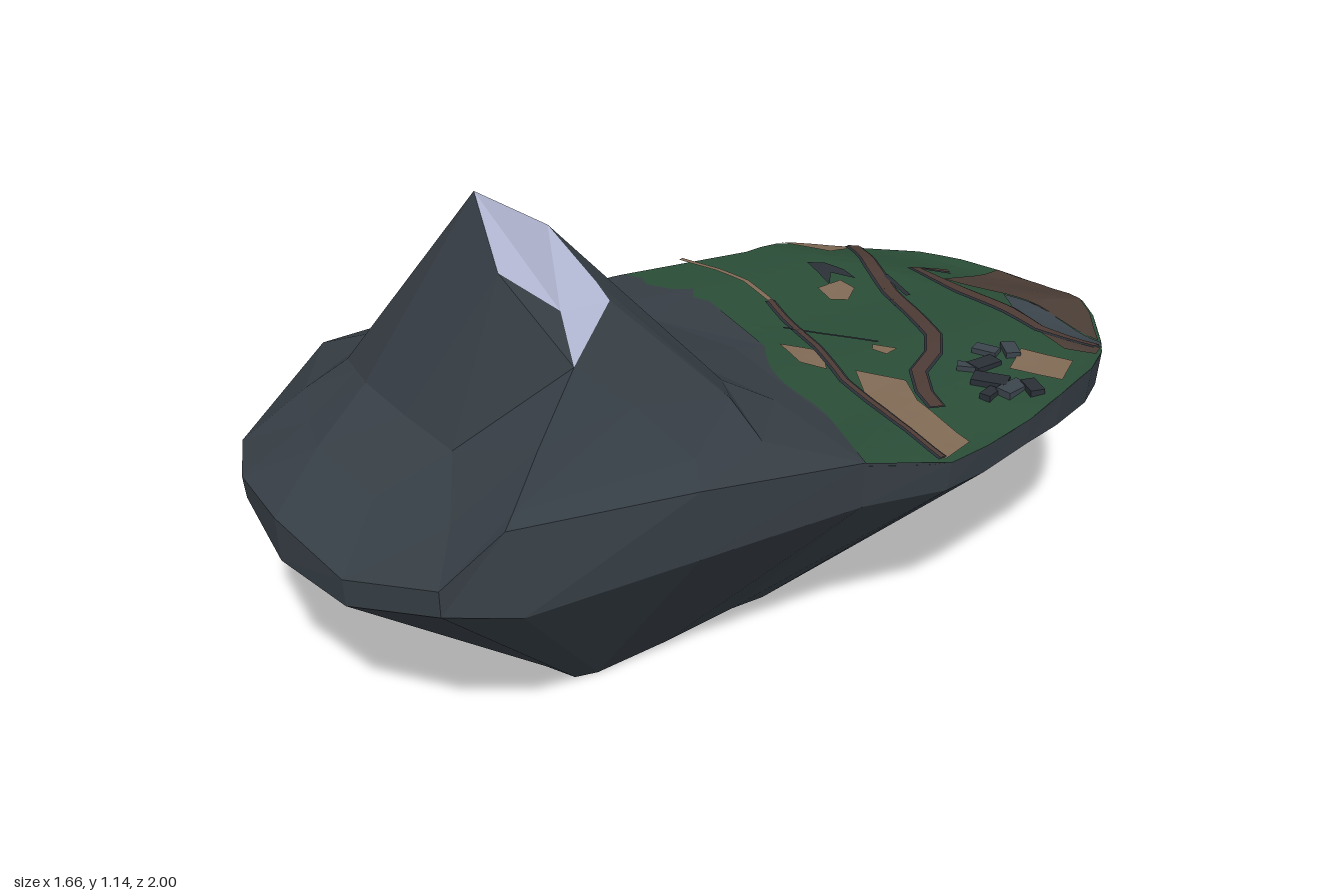
import * as THREE from 'three';

const material = (name, color) => new THREE.MeshStandardMaterial({ name, color });
const step = THREE.MathUtils.smoothstep;

// Height of the rolling plateau, dipping at its back, its beach and its back corner
const ground = (x, z) => 0.555 + 0.004 * Math.sin(11 * x + 7 * z)
  + 0.01 * step(x, 0.3, 0.7) * step(-z, 0.25, 0.5)
  - Math.max(0.05 * step(-z, 0.72, 0.98), 0.04 * step(x, 0.5, 0.7) * step(z, -0.35, -0.05),
    0.04 * step(x, 0.55, 0.78) * step(-z, 0.54, 0.7));

// Flat-shaded mesh from triangles of [x, y, z] corners
function facets(name, tris, mat) {
  const g = new THREE.BufferGeometry();
  g.setAttribute('position', new THREE.Float32BufferAttribute(tris.flat(2), 3));
  g.computeVertexNormals();
  const m = new THREE.Mesh(g, mat);
  m.name = name;
  return m;
}

// Triangles between two loops of equal length, a inside or above b
function loft(a, b) {
  const out = [];
  a.forEach((p, i) => {
    const j = (i + 1) % a.length;
    out.push([p, b[j], b[i]], [p, a[j], b[j]]);
  });
  return out;
}

// Split an [x, z] polygon into triangles, all facing up
function polygon(points) {
  const v = points.map(p => new THREE.Vector2(p[0], p[1]));
  return THREE.ShapeUtils.triangulateShape(v, []).map(f => {
    const [a, b, c] = f.map(i => points[i]);
    const up = (b[1] - a[1]) * (c[0] - a[0]) - (b[0] - a[0]) * (c[1] - a[1]) > 0;
    return up ? [a, b, c] : [a, c, b];
  });
}

// Cut triangles until small, so that they can follow the ground
function refine(t, out) {
  const len = i => Math.hypot(t[i][0] - t[(i + 1) % 3][0], t[i][1] - t[(i + 1) % 3][1]);
  let k = 0;
  for (const i of [1, 2]) if (len(i) > len(k)) k = i;
  if (len(k) < 0.07) return out.push(t);
  const a = t[k], b = t[(k + 1) % 3], c = t[(k + 2) % 3];
  const m = [(a[0] + b[0]) / 2, (a[1] + b[1]) / 2];
  refine([a, m, c], out);
  refine([m, b, c], out);
}

// Sheet draped over the plateau
function drape(name, points, mat, lift = 0) {
  const tris = [];
  polygon(points).forEach(t => refine(t, tris));
  return facets(name, tris.map(t => t.map(([x, z]) => [x, ground(x, z) + lift, z])), mat);
}

// Outline of a strip of given width along a path
function strip(path, width) {
  const side = s => path.map((p, i) => {
    const a = path[Math.max(i - 1, 0)], b = path[Math.min(i + 1, path.length - 1)];
    const dx = b[0] - a[0], dz = b[1] - a[1], l = Math.hypot(dx, dz);
    return [p[0] - s * dz / l * width / 2, p[1] + s * dx / l * width / 2];
  });
  return [...side(1), ...side(-1).reverse()];
}

export function createModel() {
  const island = new THREE.Group();
  island.name = 'mountainIsland';
  const rock = material('rock', 0x363e45);
  const snow = material('snow', 0xb2b7d2);
  const grass = material('grass', 0x2a4d37);
  const sand = material('sand', 0x806a55);
  const soil = material('soil', 0x4b3d36);
  const road = material('road', 0x4d3b35);
  const slate = material('slate', 0x3b444c);
  const dark = material('darkStone', 0x2a3037);
  // The shell is hollow and open below
  rock.side = grass.side = THREE.DoubleSide;

  // Mountain loops, clockwise from the back: edge of rock, foot, shoulder, snow line
  const edge = [[-0.2, 0, -0.39], [0.1, 0, -0.2], [0.4, 0, 0.05], [0.555, 0.56, 0.2],
    [0.35, 0.615, 0.56], [0.11, 0.64, 0.92], [0, 0.51, 1], [-0.25, 0.455, 0.995],
    [-0.48, 0.495, 0.925], [-0.65, 0.5, 0.83], [-0.75, 0.505, 0.71], [-0.835, 0.555, 0.31],
    [-0.79, 0.54, 0.14], [-0.6, 0.54, -0.13], [-0.41, 0, -0.39]].map(([x, y, z]) => [x, y || ground(x, z), z]);
  const foot = [[-0.2, 0.561, -0.18], [0.06, 0.567, -0.13], [0.28, 0.595, 0.1], [0.36, 0.613, 0.31],
    [0.3, 0.648, 0.5], [0.103, 0.66, 0.88], [-0.06, 0.575, 0.87], [-0.28, 0.56, 0.84],
    [-0.47, 0.6, 0.78], [-0.56, 0.6, 0.7], [-0.64, 0.62, 0.61], [-0.67, 0.62, 0.3],
    [-0.62, 0.615, 0.13], [-0.5, 0.578, -0.06], [-0.36, 0.562, -0.16]];
  const shoulder = [[-0.2, 0.67, 0.11], [0.03, 0.665, 0.13], [0.2, 0.67, 0.2], [0.27, 0.685, 0.29],
    [0.18, 0.76, 0.54], [0.093, 0.745, 0.77], [-0.15, 0.655, 0.73], [-0.3, 0.68, 0.69],
    [-0.44, 0.7, 0.64], [-0.505, 0.69, 0.59], [-0.57, 0.68, 0.54], [-0.565, 0.715, 0.36],
    [-0.54, 0.72, 0.205], [-0.4, 0.69, 0.11], [-0.29, 0.675, 0.11]];
  const peak = [-0.22, 1.145, 0.51];
  const notch = [0.005, 0.935, 0.54];
  const snowLine = [[-0.2, 0.98, 0.285], [-0.14, 1.03, 0.36], [0.005, 0.945, 0.4], [0.05, 0.92, 0.42],
    [0.08, 0.855, 0.61], [0.08, 0.855, 0.61], [-0.105, 1.02, 0.6], peak,
    peak, peak, [-0.35, 1.03, 0.38], [-0.46, 0.83, 0.28], [-0.46, 0.83, 0.28],
    [-0.33, 0.905, 0.28], [-0.27, 0.945, 0.283]];
  const fan = (centre, columns) => columns.map(i => [centre, snowLine[(i + 1) % 15], snowLine[i]]);
  island.add(facets('mountain', [...loft(foot, edge), ...loft(shoulder, foot), ...loft(snowLine, shoulder),
    ...fan(notch, [5])], rock));
  island.add(facets('snowCap', [...fan(peak, [10, 12, 13, 14, 0]), ...fan(notch, [1, 2, 3]),
    [peak, notch, snowLine[1]], [peak, snowLine[6], notch]], snow));

  // Plateau of grass, tucked a little under the rock
  const shore = [[-0.2, -0.67], [-0.16, -0.77], [-0.1, -0.84], [-0.02, -0.91], [0.05, -0.95],
    [0.16, -0.99], [0.28, -1], [0.4, -0.99], [0.52, -0.95], [0.63, -0.88], [0.72, -0.79],
    [0.78, -0.68], [0.82, -0.56], [0.83, -0.46], [0.81, -0.32], [0.78, -0.2], [0.73, -0.07], [0.69, 0.04]];
  const border = [3, 2, 1, 0, 14].map(i => [edge[i][0] - 0.02, edge[i][2] + 0.03]);
  island.add(drape('grassPlateau', [...shore, [0.555, 0.2], ...border, [-0.41, -0.39]], grass));

  // Cliff wall and tapering underside with a shallow gap in its foot
  const rim = [...edge.slice(3), ...shore.map(([x, z]) => [x, ground(x, z), z])];
  const lip = rim.map(([x, y, z]) => {
    const low = z > 0.9 && x < -0.2 ? 0.39 : x > 0.75 ? 0.47 : 0.447;
    return [x > 0.1 && z > 0.9 ? 0.145 : x * 0.99, low, z * 0.998];
  });
  const base = rim.map(([x, y, z]) => [x * 0.32, x > 0.7 && z > -0.5 && z < 0 ? 0.03 : 0, z * 0.52]);
  island.add(facets('cliff', loft(rim, lip), rock));
  island.add(facets('underside', loft(lip, base), rock));

  // Ground patches
  const patches = [
    ['sandBank', sand, [[-0.15, -0.78], [-0.09, -0.84], [-0.015, -0.9], [0.005, -0.86], [-0.005, -0.78]]],
    ['sandBeach', sand, [[0.35, -0.18], [0.47, -0.2], [0.53, -0.13], [0.69, -0.06], [0.675, 0.04], [0.5, -0.03], [0.41, -0.1]]],
    ['sandPatch', sand, [[0.13, -0.22], [0.24, -0.23], [0.29, -0.15], [0.22, -0.15]]],
    ['sandPit', sand, [[0.1, -0.62], [0.15, -0.6], [0.165, -0.53], [0.125, -0.51], [0.07, -0.55]]],
    ['sandSpot', sand, [[0.33, -0.32], [0.39, -0.33], [0.38, -0.29], [0.34, -0.295]]],
    ['sandYard', sand, [[0.65, -0.47], [0.78, -0.47], [0.79, -0.37], [0.66, -0.37]]],
    ['soilField', soil, [[0.39, -0.985], [0.515, -0.945], [0.625, -0.875], [0.71, -0.79], [0.775, -0.67], [0.64, -0.7], [0.5, -0.74], [0.32, -0.78]]],
    ['soilCorner', soil, [[0.65, -0.58], [0.81, -0.58], [0.815, -0.53], [0.74, -0.52]]],
    ['slateField', slate, [[0.5, -0.735], [0.64, -0.7], [0.785, -0.66], [0.812, -0.585], [0.66, -0.6], [0.57, -0.64]]],
    ['darkHollow', dark, [[-0.02, -0.67], [0.02, -0.69], [0.08, -0.68], [0.13, -0.65], [0.06, -0.645], [0.09, -0.58], [0.03, -0.63]]],
  ];
  patches.forEach(([name, mat, points]) => island.add(drape(name, points, mat, 0.004)));

  // Roads with dark edges, and narrow ditches
  const roads = [
    ['mainRoad', road, 0.034, [[0, -0.91], [0.14, -0.73], [0.24, -0.62], [0.33, -0.54], [0.44, -0.43], [0.475, -0.35], [0.48, -0.25], [0.53, -0.17], [0.58, -0.13]]],
    ['southPath', sand, 0.014, [[-0.32, -0.53], [-0.2, -0.51], [-0.1, -0.48], [0.0, -0.42]]],
    ['southRoad', road, 0.014, [[0.0, -0.42], [0.08, -0.35], [0.22, -0.24], [0.35, -0.12], [0.53, -0.01], [0.67, 0.045]]],
    ['fieldRoad', road, 0.03, [[0.3, -0.86], [0.23, -0.8], [0.4, -0.71], [0.55, -0.64], [0.65, -0.59], [0.8, -0.58]]],
    ['ditch', dark, 0.014, [[0.19, -0.7], [0.23, -0.67], [0.29, -0.62]]],
    ['gully', dark, 0.008, [[0.1, -0.3], [0.2, -0.31], [0.34, -0.33]]],
  ];
  roads.forEach(([name, mat, width, path]) => {
    if (mat === road) island.add(drape(name + 'Edge', strip(path, width + 0.012), dark, 0.006));
    island.add(drape(name, strip(path, width), mat, 0.009));
  });

  // Ruined stone cluster beside the yard
  const ruins = new THREE.Group();
  ruins.name = 'ruins';
  [[0.58, -0.42, 0.05], [0.6, -0.36, 0.06], [0.63, -0.45, 0.05], [0.64, -0.3, 0.07],
    [0.7, -0.29, 0.06], [0.74, -0.31, 0.05], [0.57, -0.33, 0.04], [0.66, -0.25, 0.04]].forEach(([x, z, s], i) => {
    const block = new THREE.Mesh(new THREE.BoxGeometry(s * 1.2, 0.02, s * 0.7), i % 2 ? dark : slate);
    block.name = 'ruinBlock';
    block.position.set(x, ground(x, z) + 0.002, z);
    block.rotation.y = i * 1.1;
    ruins.add(block);
  });
  island.add(ruins);

  return island;
}
